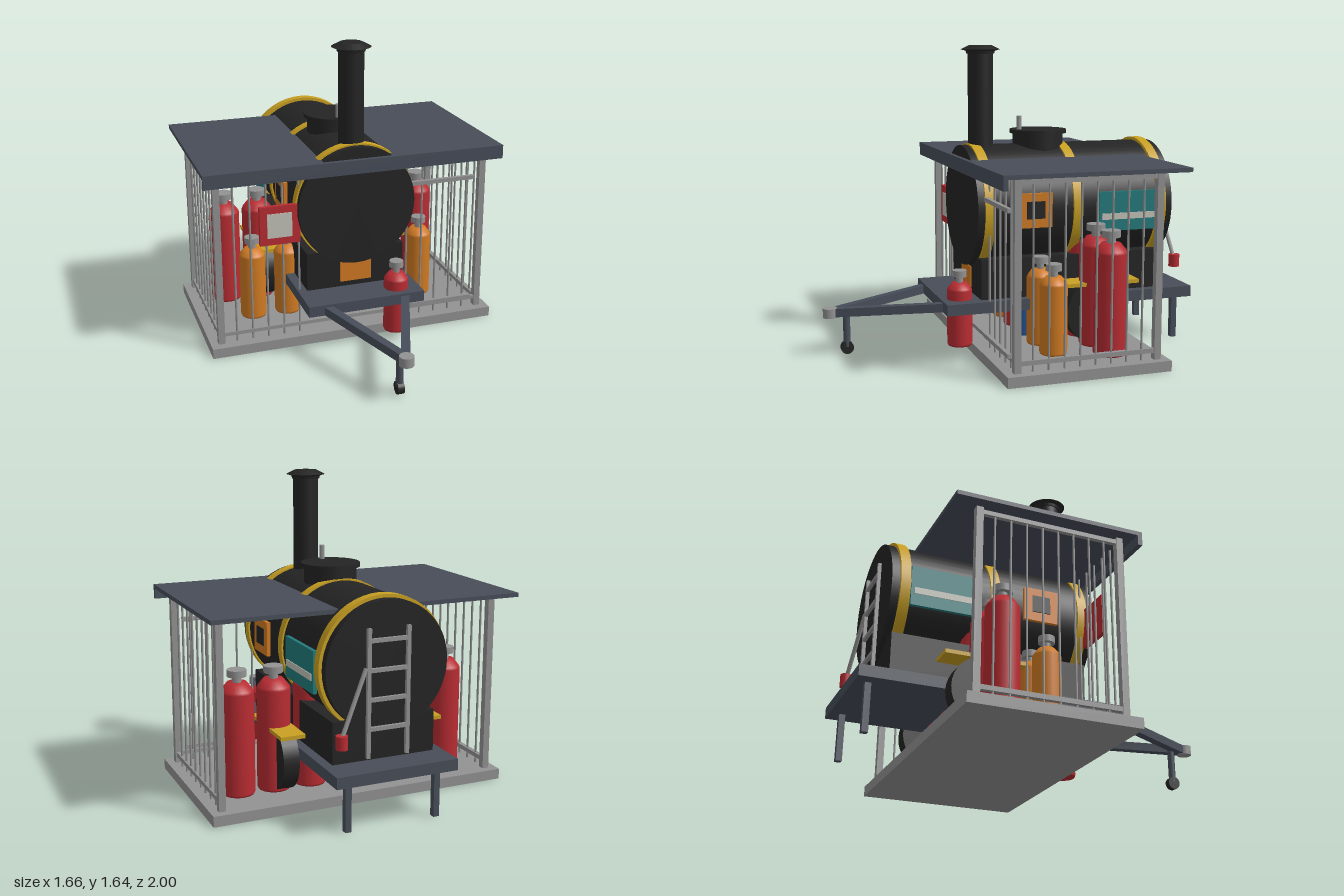
import * as THREE from 'three';

const mat = (name, color) => {
  const m = new THREE.MeshStandardMaterial({ color });
  m.name = name;
  return m;
};

export function createModel() {
  const root = new THREE.Group();
  root.name = 'boilerTrailer';
  const black = mat('black', 0x242424), slate = mat('slate', 0x474d59), gold = mat('gold', 0xc9a022),
    grey = mat('grey', 0x929292), red = mat('red', 0xb82c32), orange = mat('orange', 0xd07a22),
    teal = mat('teal', 0x237a7c), white = mat('paleGrey', 0xc2c2ba), blue = mat('blue', 0x2f5fa5);

  const add = (name, geo, m, x = 0, y = 0, z = 0, parent = root) => {
    const mesh = new THREE.Mesh(geo, m);
    mesh.name = name;
    mesh.position.set(x, y, z);
    parent.add(mesh);
    return mesh;
  };
  // Box given by its minimum and maximum on each axis
  const box = (name, m, x0, x1, y0, y1, z0, z1, parent) =>
    add(name, new THREE.BoxGeometry(x1 - x0, y1 - y0, z1 - z0), m,
      (x0 + x1) / 2, (y0 + y1) / 2, (z0 + z1) / 2, parent);
  // Upright cylinder from y0 to y1
  const post = (name, m, r, x, y0, y1, z, seg = 24, parent) =>
    add(name, new THREE.CylinderGeometry(r, r, y1 - y0, seg), m, x, (y0 + y1) / 2, z, parent);
  // Cylinder lying along z
  const drum = (name, m, r, y, z0, z1) => {
    const geo = new THREE.CylinderGeometry(r, r, z1 - z0, 48).rotateX(Math.PI / 2);
    return add(name, geo, m, 0, y, (z0 + z1) / 2);
  };
  // Beam or round rod between two points
  const link = (name, m, a, b, size, round = false) => {
    const p = new THREE.Vector3(...a), q = new THREE.Vector3(...b), len = p.distanceTo(q);
    const geo = round ? new THREE.CylinderGeometry(size / 2, size / 2, len, 10).rotateX(Math.PI / 2)
      : new THREE.BoxGeometry(size, size, len);
    const mesh = add(name, geo, m, ...p.clone().add(q).multiplyScalar(0.5).toArray());
    mesh.lookAt(q);
    return mesh;
  };

  // Floor slab and canopy roof
  box('floorSlab', grey, -0.81, 0.81, 0, 0.055, -0.64, 0.235);
  box('canopyFrontLip', slate, -0.83, 0.83, 0.965, 1.04, 0.24, 0.265);
  for (const s of [-1, 1]) {
    box('canopyPanel', slate, Math.min(s * 0.19, s * 0.83), Math.max(s * 0.19, s * 0.83), 1.018, 1.04, -0.72, 0.25);
  }

  // Cage: corner posts, rails and bars, open at the back
  const cage = new THREE.Group();
  cage.name = 'cage';
  root.add(cage);
  const zf = 0.17, zb = -0.58;
  for (const s of [-1, 1]) {
    const x = s * 0.75;
    for (const z of [zf, zb]) box('cornerPost', grey, x - 0.018, x + 0.018, 0.055, 1.02, z - 0.018, z + 0.018, cage);
    box('sideLowerRail', grey, x - 0.012, x + 0.012, 0.09, 0.114, zb, zf, cage);
    box('sideUpperRail', grey, x - 0.012, x + 0.012, 0.985, 1.008, zb, zf, cage);
    for (let i = 1; i < 9; i++) post('sideBar', grey, 0.006, x, 0.055, 1.0, zf + (zb - zf) * i / 9, 8, cage);
    for (let i = 0; i < 5; i++) post('frontBar', grey, 0.006, s * (0.662 - i * 0.0882), 0.055, 1.0, zf, 8, cage);
  }
  box('frontLowerRail', grey, -0.75, 0.75, 0.094, 0.114, zf - 0.01, zf + 0.01, cage);
  for (const y of [0.125, 0.85]) box('gateRail', grey, 0.3, 0.7, y - 0.011, y + 0.011, 0.18, 0.202, cage);

  // Notice board on the cage front
  box('noticeBoard', red, -0.53, -0.31, 0.6, 0.815, 0.185, 0.208);
  box('noticePaper', white, -0.49, -0.355, 0.64, 0.775, 0.207, 0.212);

  // Trailer bed, rear legs and drawbar
  box('trailerBed', slate, -0.325, 0.325, 0.247, 0.306, -1, 0.405);
  for (const s of [-1, 1]) {
    box('rearLeg', slate, s * 0.24 - 0.016, s * 0.24 + 0.016, 0, 0.25, -0.95, -0.918);
    link('drawbar', slate, [s * 0.225, 0.272, 0.38], [0, 0.232, 0.95], 0.045);
  }
  post('hitch', grey, 0.038, 0, 0.207, 0.257, 0.962);
  post('jockeyPost', slate, 0.019, 0, 0.04, 0.225, 0.875, 16);
  add('jockeyWheel', new THREE.CylinderGeometry(0.034, 0.034, 0.035, 20).rotateZ(Math.PI / 2), black, 0, 0.035, 0.875);

  // Road wheels and flat mudguards
  for (const s of [-1, 1]) {
    add('wheel', new THREE.CylinderGeometry(0.175, 0.175, 0.085, 32).rotateZ(Math.PI / 2), black, s * 0.375, 0.23, -0.4);
    add('mudguard', new THREE.BoxGeometry(0.13, 0.02, 0.42), gold, s * 0.385, 0.39, -0.41);
  }

  // Boiler with saddle box and bands
  box('saddleBox', black, -0.275, 0.275, 0.3, 0.52, -0.84, 0.205);
  box('saddleFrontPlate', orange, -0.088, 0.088, 0.335, 0.448, 0.204, 0.211);
  drum('boilerBarrel', black, 0.326, 0.775, -0.868, 0.235);
  for (const z of [0.172, -0.318, -0.8]) drum('boilerBand', gold, z < -0.5 ? 0.343 : 0.335, 0.775, z - 0.026, z + 0.026);

  // Chimney with flared cap
  post('chimney', black, 0.068, 0, 1.0, 1.6, 0.125, 32);
  const cap = [[0, 1.59], [0.075, 1.59], [0.078, 1.605], [0.105, 1.613], [0.06, 1.636], [0, 1.636]]
    .map(p => new THREE.Vector2(...p));
  const capMat = black;
  add('chimneyCap', new THREE.LatheGeometry(cap, 24).toNonIndexed(), capMat, 0, 0, 0.125).geometry.computeVertexNormals();

  // Hatch on top of the boiler
  post('hatchCollar', black, 0.138, 0, 1.04, 1.16, -0.205, 36);
  post('hatchLid', black, 0.156, 0, 1.158, 1.178, -0.205, 36);
  post('hatchKnob', grey, 0.014, 0, 1.175, 1.252, -0.095, 12);

  // Plates on both flanks of the boiler
  for (const s of [-1, 1]) {
    const plate = (name, m, x, y0, y1, z0, z1, t = 0.008) =>
      add(name, new THREE.BoxGeometry(t, y1 - y0, z1 - z0), m, s * x, (y0 + y1) / 2, (z0 + z1) / 2);
    plate('orangePlate', orange, 0.336, 0.69, 0.872, -0.165, 0.022, 0.02);
    plate('darkWindow', black, 0.347, 0.738, 0.83, -0.122, -0.022);
    plate('tealPanel', teal, 0.338, 0.65, 0.862, -0.775, -0.43, 0.02);
    plate('paleStripe', white, 0.348, 0.712, 0.746, -0.757, -0.447);
  }

  // Rear ladder and lever
  for (const s of [-1, 1]) box('ladderRail', grey, s * 0.105 - 0.01, s * 0.105 + 0.01, 0.33, 0.97, -0.888, -0.87);
  for (let i = 0; i < 4; i++) box('ladderRung', grey, -0.1, 0.1, 0.465 + i * 0.145, 0.485 + i * 0.145, -0.888, -0.872);
  link('leverRod', grey, [0.12, 0.78, -0.88], [0.265, 0.46, -0.92], 0.022, true);
  post('leverGrip', red, 0.03, 0.265, 0.412, 0.48, -0.922, 16);

  // Gas bottles: turned body, neck and valve
  const bottle = (m, x, z, r, h) => {
    const g = new THREE.Group();
    g.name = 'gasBottle';
    g.position.set(x, 0.055, z);
    root.add(g);
    const top = h - r * 0.6;
    const pts = [[0, 0], [r * 0.94, 0], [r, 0.012], [r, top], [r * 0.93, top + r * 0.15],
      [r * 0.58, h], [0, h]].map(p => new THREE.Vector2(...p));
    add('bottleBody', new THREE.LatheGeometry(pts, 24), m, 0, 0, 0, g);
    post('bottleNeck', grey, r * 0.28, 0, h - 0.005, h + 0.035, 0, 12, g);
    post('bottleValve', grey, r * 0.57, 0, h + 0.03, h + 0.065, 0, 16, g);
  };
  for (const x of [-0.595, -0.4, -0.2, 0, 0.2, 0.4, 0.595]) bottle(red, x, -0.39, 0.087, 0.585);
  [orange, orange, red, blue, orange, orange].forEach((m, i) => bottle(m, -0.5 + i * 0.2, -0.115, 0.073, 0.408));
  bottle(red, 0.2, 0.304, 0.067, 0.34);

  return root;
}
